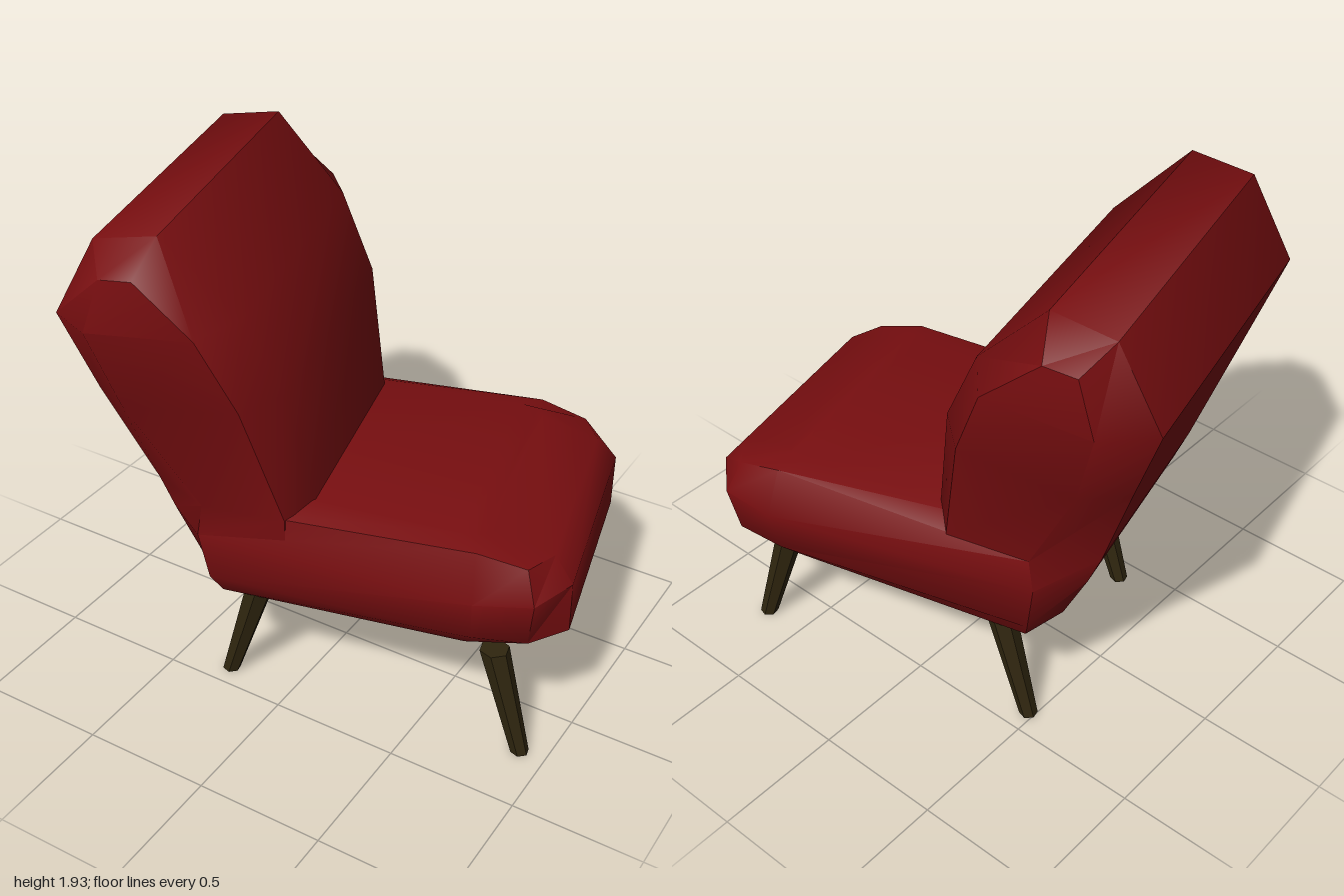
import * as THREE from 'three';
import { toCreasedNormals } from 'three/addons/utils/BufferGeometryUtils.js';

// Lofts mirrored rings upward. Each ring lists half its outline, rear to front, as [x, y, z].
function loftMirrored(rings, crease) {
  const full = rings.map((half) => [
    ...half.map((p) => new THREE.Vector3(...p)),
    ...[...half].reverse().map(([x, y, z]) => new THREE.Vector3(x, y, -z)),
  ]);
  const n = full[0].length;
  const positions = [];
  const tri = (a, b, c) => {
    const area = b.clone().sub(a).cross(c.clone().sub(a)).length();
    if (area > 1e-6) for (const p of [a, b, c]) positions.push(p.x, p.y, p.z);
  };
  const quad = (a, b, c, d) => { tri(a, b, c); tri(a, c, d); };

  // Walls
  for (let r = 0; r < full.length - 1; r++) {
    const low = full[r], high = full[r + 1];
    for (let i = 0; i < n; i++) {
      const j = (i + 1) % n;
      quad(low[i], low[j], high[j], high[i]);
    }
  }
  // Caps, as strips from side to side
  const bottom = full[0], top = full[full.length - 1];
  for (let k = 0; k < n / 2 - 1; k++) {
    quad(top[k], top[k + 1], top[n - 2 - k], top[n - 1 - k]);
    quad(bottom[n - 1 - k], bottom[n - 2 - k], bottom[k + 1], bottom[k]);
  }
  const geometry = new THREE.BufferGeometry();
  geometry.setAttribute('position', new THREE.Float32BufferAttribute(positions, 3));
  return toCreasedNormals(geometry, crease);
}

// Tapered six-sided leg, sheared so that its foot stays flat on the floor
function legGeometry(topX, topZ, footX, footZ) {
  const height = 0.44;
  const geometry = new THREE.CylinderGeometry(0.056, 0.035, height, 6).toNonIndexed();
  geometry.translate(0, height / 2, 0);
  const pos = geometry.attributes.position;
  for (let i = 0; i < pos.count; i++) {
    const t = pos.getY(i) / height;
    pos.setX(i, pos.getX(i) + THREE.MathUtils.lerp(footX, topX, t));
    pos.setZ(i, pos.getZ(i) + THREE.MathUtils.lerp(footZ, topZ, t));
  }
  geometry.computeVertexNormals();
  return geometry;
}

export function createModel() {
  const upholstery = new THREE.MeshStandardMaterial({ color: 0x780e10 });
  upholstery.name = 'red upholstery';
  const wood = new THREE.MeshStandardMaterial({ color: 0x30260f });
  wood.name = 'dark wood';

  const chair = new THREE.Group();
  chair.name = 'chair';
  const add = (name, geometry, material) => {
    const mesh = new THREE.Mesh(geometry, material);
    mesh.name = name;
    chair.add(mesh);
  };

  // Seat cushion: rear, side, front corner, front
  add('seat', loftMirrored([
    [[-0.36, 0.43, 0.46], [0.58, 0.43, 0.47], [0.76, 0.44, 0.43], [0.85, 0.45, 0.37]],
    [[-0.39, 0.52, 0.51], [0.62, 0.53, 0.56], [0.82, 0.53, 0.53], [0.944, 0.53, 0.41]],
    [[-0.42, 0.72, 0.53], [0.63, 0.71, 0.605], [0.84, 0.72, 0.565], [0.944, 0.74, 0.42]],
    [[-0.4, 0.85, 0.525], [0.62, 0.878, 0.53], [0.8, 0.835, 0.51], [0.87, 0.83, 0.39]],
    [[-0.38, 0.9, 0.42], [0.55, 0.893, 0.45], [0.62, 0.893, 0.44], [0.65, 0.89, 0.39]],
  ], 0.75), upholstery);

  // Reclined backrest, widening upward: rear, rear corner, front corner, front
  const topRear = [-0.71, 1.89, 0.575], topFront = [-0.48, 1.93, 0.57];
  add('backrest', loftMirrored([
    [[-0.39, 0.43, 0.36], [-0.36, 0.43, 0.46], [-0.08, 0.43, 0.45], [-0.02, 0.43, 0.4]],
    [[-0.47, 0.52, 0.38], [-0.39, 0.52, 0.51], [-0.08, 0.53, 0.5], [-0.02, 0.53, 0.4]],
    [[-0.566, 0.72, 0.39], [-0.42, 0.72, 0.53], [-0.08, 0.72, 0.53], [-0.01, 0.72, 0.41]],
    [[-0.618, 0.85, 0.4], [-0.4, 0.85, 0.525], [-0.08, 0.855, 0.53], [0, 0.9, 0.42]],
    [[-0.765, 1.28, 0.52], [-0.62, 1.3, 0.645], [-0.19, 1.35, 0.645], [-0.08, 1.36, 0.5]],
    [[-0.872, 1.59, 0.58], [-0.705, 1.61, 0.715], [-0.31, 1.64, 0.71], [-0.21, 1.65, 0.53]],
    [topRear, [-0.64, 1.81, 0.7], [-0.52, 1.82, 0.7], topFront],
    [topRear, topRear, topFront, topFront],
  ], 0.75), upholstery);

  // Splayed legs: top x, top z, foot x, foot z
  add('rearLeftLeg', legGeometry(-0.23, -0.405, -0.365, -0.438), wood);
  add('rearRightLeg', legGeometry(-0.23, 0.414, -0.365, 0.404), wood);
  add('frontLeftLeg', legGeometry(0.695, -0.39, 0.818, -0.423), wood);
  add('frontRightLeg', legGeometry(0.695, 0.485, 0.818, 0.51), wood);

  // The chair stands turned a little on the floor
  chair.position.z = -0.07;
  const model = new THREE.Group();
  model.name = 'slipperChair';
  model.rotation.y = 0.235;
  model.add(chair);
  return model;
}
